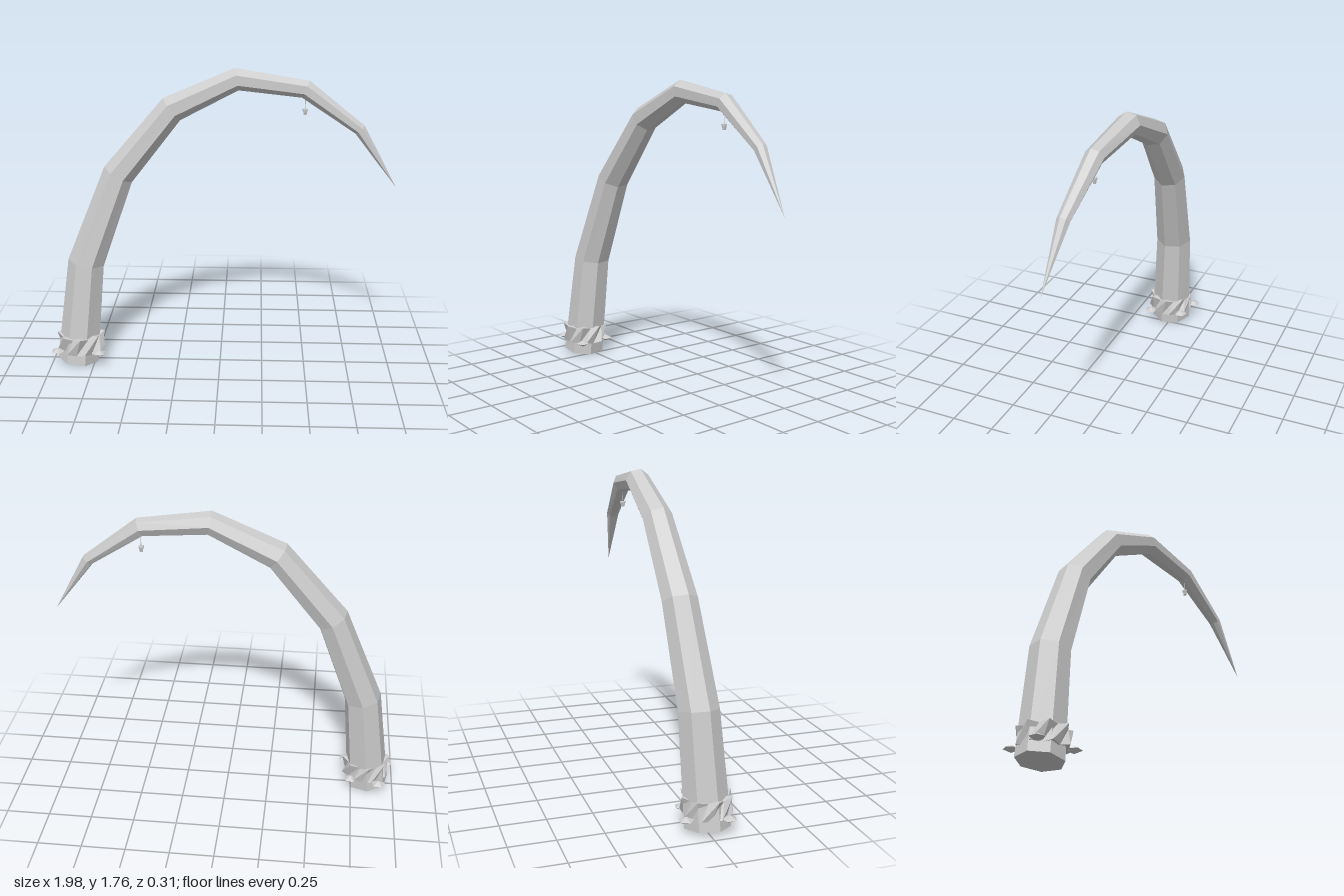
import * as THREE from 'three';

const SIDES = 7;

export function createModel() {
  const model = new THREE.Group();
  model.name = 'curvedHorn';

  const stone = new THREE.MeshStandardMaterial({ color: 0xcccccc });
  stone.name = 'paleGrey';
  stone.flatShading = true;

  const add = (name, geometry, x = 0, y = 0, z = 0) => {
    const mesh = new THREE.Mesh(geometry, stone);
    mesh.name = name;
    mesh.position.set(x, y, z);
    model.add(mesh);
    return mesh;
  };

  add('horn', hornGeometry());

  // Jagged collar: alternate corners pushed in, so shards break out of the shaft
  const collar = new THREE.CylinderGeometry(0.13, 0.13, 0.1, 16, 1);
  const p = collar.attributes.position;
  for (let i = 0; i < p.count; i++) {
    const x = p.getX(i), y = p.getY(i), z = p.getZ(i);
    if (Math.hypot(x, z) < 0.01) continue;
    const a = Math.atan2(x, z);
    const k = ((Math.round(a / (Math.PI / 8)) % 16) + 16) % 16;
    const top = y > 0;
    const out = (k % 2 === 0) === top;
    const r = out ? 0.141 : 0.116;
    const turn = a + (top ? 0.12 : -0.12);
    p.setXYZ(i, Math.sin(turn) * r, y + (out ? 0.006 : -0.006), Math.cos(turn) * r);
  }
  collar.computeVertexNormals();
  add('collar', collar, -0.83, 0.132, 0.018);

  // Flattened five-sided studs around the collar
  for (const [x, z] of [[-0.91, -0.12], [-0.96, 0.095], [-0.715, 0.11], [-0.745, -0.085]]) {
    const profile = [[0, -0.02], [0.042, 0], [0, 0.02]].map(([r, y]) => new THREE.Vector2(r, y));
    const stud = add('stud', new THREE.LatheGeometry(profile, 5), x, 0.09, z);
    stud.rotation.y = Math.atan2(x + 0.84, z);
  }

  // Small pendant hanging from the horn
  add('pendantThread', new THREE.CylinderGeometry(0.002, 0.002, 0.09, 4), 0.47, 1.575, -0.04);
  add('pendantCap', new THREE.CylinderGeometry(0.016, 0.016, 0.01, 6), 0.47, 1.53, -0.04);
  add('pendant', new THREE.CylinderGeometry(0.014, 0.009, 0.025, 6), 0.47, 1.515, -0.04);

  return model;
}

// Seven-sided sections swept along a bend: [outer x, outer y, inner x, inner y, centre z, radius]
function hornGeometry() {
  const sections = [
    [-0.97, 0.03, -0.73, 0.002, 0.016, 0.125],
    [-0.885, 0.645, -0.68, 0.605, -0.013, 0.11],
    [-0.66, 1.195, -0.505, 1.105, -0.047, 0.096],
    [-0.32, 1.59, -0.225, 1.465, -0.063, 0.082],
    [0.08, 1.76, 0.10, 1.635, -0.062, 0.068],
    [0.49, 1.695, 0.45, 1.6, -0.043, 0.053],
    [0.80, 1.45, 0.75, 1.405, -0.018, 0.037],
    [0.99, 1.10, 0.99, 1.10, 0.01, 0],
  ];
  const positions = [], index = [];
  for (const [ox, oy, ix, iy, cz, r] of sections) {
    for (let j = 0; j < SIDES; j++) {
      const a = -Math.PI / 2 + (j / SIDES) * Math.PI * 2;
      const c = Math.cos(a) / 0.975 / 2;
      positions.push(
        (ox + ix) / 2 + (ox - ix) * c,
        (oy + iy) / 2 + (oy - iy) * c,
        cz + Math.sin(a) * r,
      );
    }
  }
  for (let i = 0; i < sections.length - 1; i++) {
    for (let j = 0; j < SIDES; j++) {
      const k = (j + 1) % SIDES;
      const a = i * SIDES + j, b = i * SIDES + k;
      index.push(a, b, b + SIDES);
      if (i < sections.length - 2) index.push(a, b + SIDES, a + SIDES);
    }
  }
  // Flat base
  for (let j = 1; j < SIDES - 1; j++) index.push(0, j + 1, j);

  const geometry = new THREE.BufferGeometry();
  geometry.setAttribute('position', new THREE.Float32BufferAttribute(positions, 3));
  geometry.setIndex(index);
  const flat = geometry.toNonIndexed();
  flat.computeVertexNormals();
  return flat;
}
